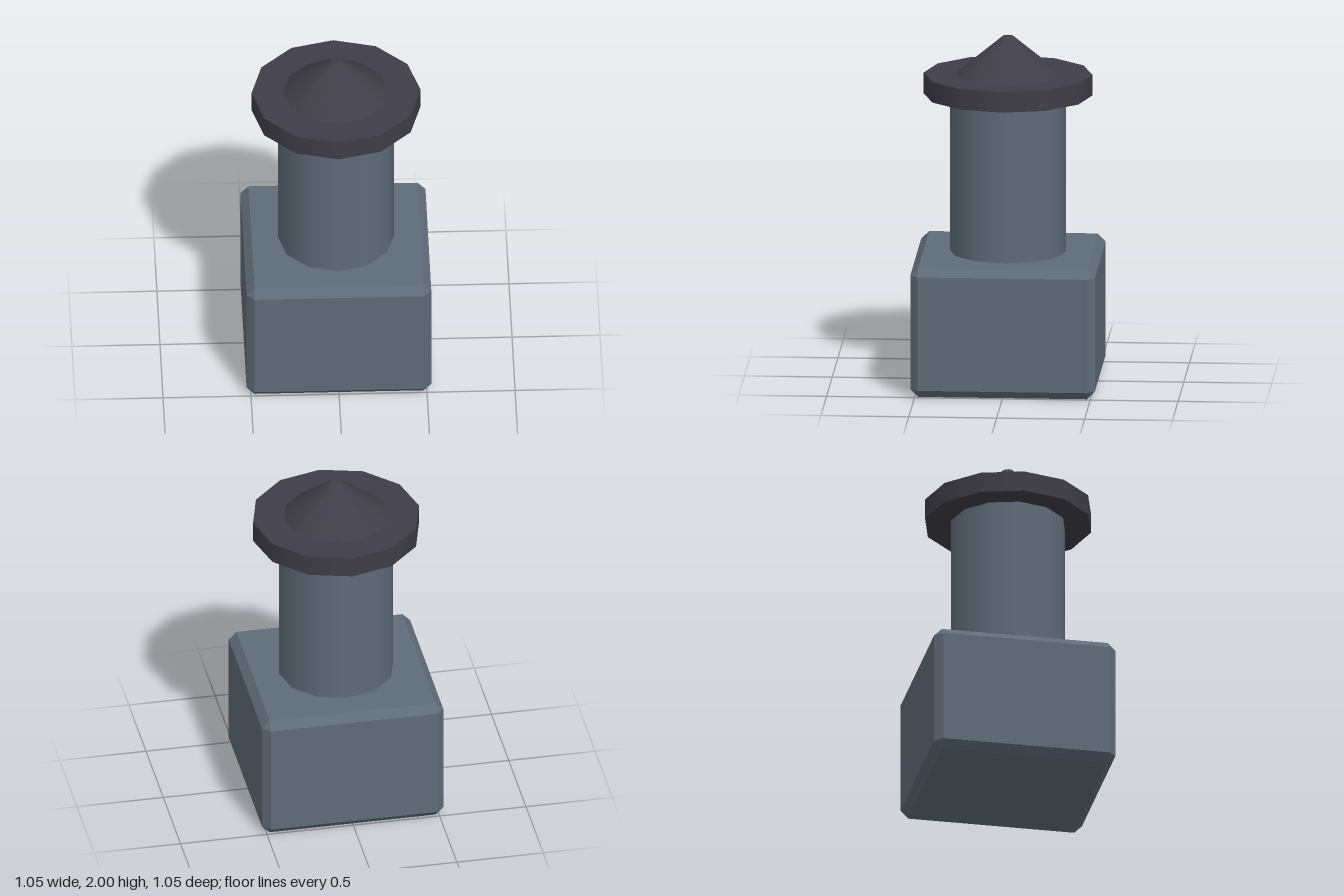
import * as THREE from 'three';
import { ConvexGeometry } from 'three/addons/geometries/ConvexGeometry.js';

const SIDES = 12;

// Box with flat chamfers on every edge and a triangle on every corner
function chamferedBox(w, h, d, c) {
  const points = [];
  const half = [w / 2, h / 2, d / 2];
  for (const sx of [-1, 1]) for (const sy of [-1, 1]) for (const sz of [-1, 1]) {
    for (let axis = 0; axis < 3; axis++) {
      const p = half.map((v, i) => (i === axis ? v : v - c));
      points.push(new THREE.Vector3(p[0] * sx, p[1] * sy, p[2] * sz));
    }
  }
  return new ConvexGeometry(points);
}

export function createModel() {
  const model = new THREE.Group();
  model.name = 'bollard';

  const slate = new THREE.MeshStandardMaterial({ color: 0x5f6b78 });
  slate.name = 'slate';
  const charcoal = new THREE.MeshStandardMaterial({ color: 0x3f3d47 });
  charcoal.name = 'charcoal';

  function add(name, geometry, material, y) {
    const mesh = new THREE.Mesh(geometry, material);
    mesh.name = name;
    mesh.position.y = y;
    model.add(mesh);
  }

  // Round part standing between two heights, smooth around its side
  function addRound(name, topRadius, bottomRadius, y0, y1, material) {
    const geometry = new THREE.CylinderGeometry(topRadius, bottomRadius, y1 - y0, SIDES);
    add(name, geometry, material, (y0 + y1) / 2);
  }

  add('base', chamferedBox(1.05, 0.75, 1.05, 0.045), slate, 0.375);
  addRound('column', 0.33, 0.33, 0.75, 1.66, slate);
  addRound('brim', 0.48, 0.48, 1.66, 1.78, charcoal);
  addRound('capCone', 0.03, 0.3, 1.78, 2, charcoal);

  return model;
}
